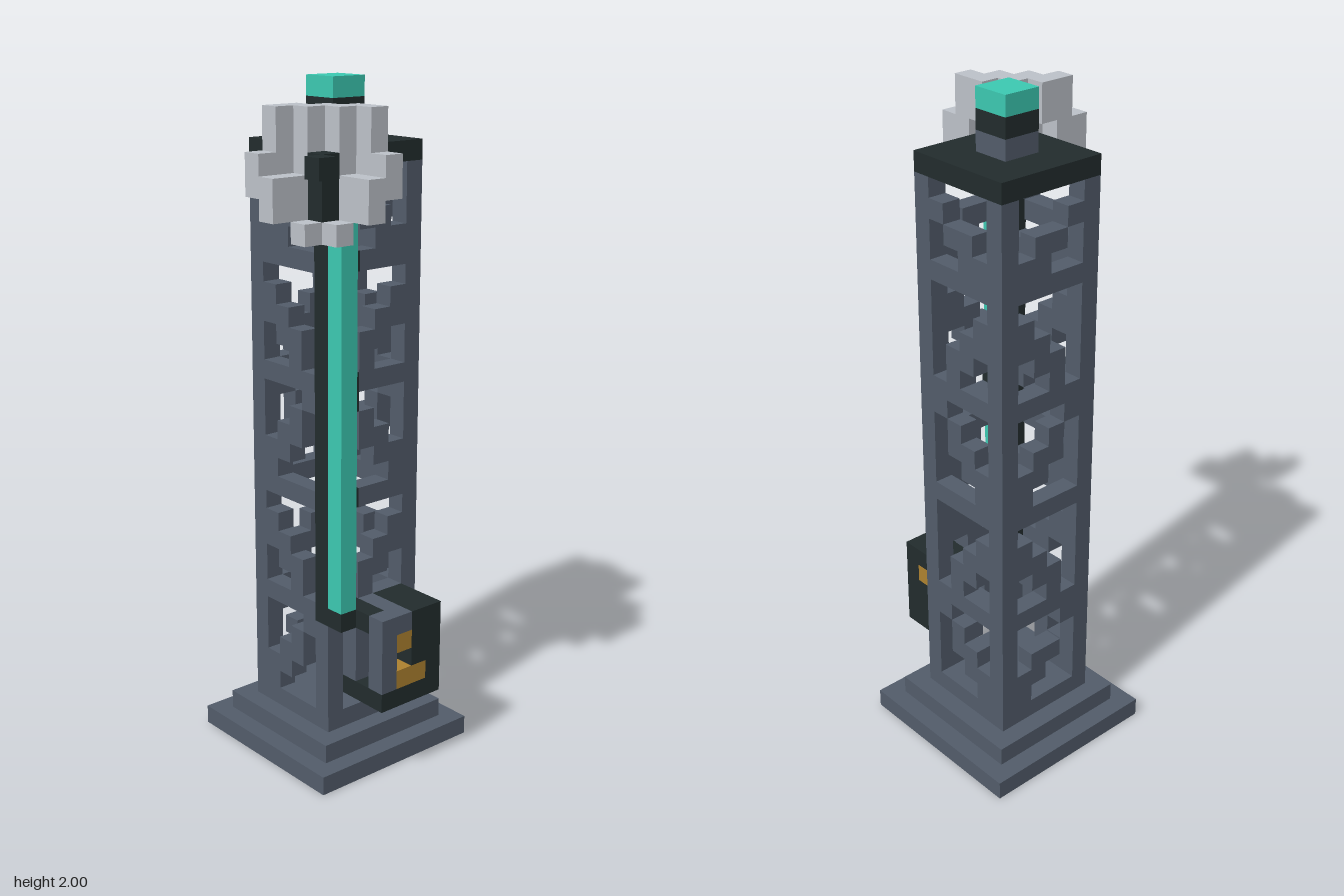
import * as THREE from 'three';
import { mergeGeometries } from 'three/addons/utils/BufferGeometryUtils.js';

const U = 2 / 35; // one block

const colours = { slate: 0x525c6a, charcoal: 0x222c2d, teal: 0x3cc8b1, paleGrey: 0xbcc1c8, amber: 0xad812f };

// Box given by its lowest block (i, y, k) and its size in blocks
function block([i, y, k, w = 1, h = 1, d = 1]) {
  return new THREE.BoxGeometry(w * U, h * U, d * U)
    .translate((i + w / 2 - 6) * U, (y + h / 2) * U, (k + d / 2 - 6) * U);
}

export function createModel() {
  const model = new THREE.Group();
  model.name = 'latticeTower';
  const mats = {};
  for (const [name, color] of Object.entries(colours)) {
    mats[name] = new THREE.MeshStandardMaterial({ color });
    mats[name].name = name;
  }
  const part = (name, mat, blocks) => {
    const mesh = new THREE.Mesh(mergeGeometries(blocks.map(block)), mats[mat]);
    mesh.name = name;
    model.add(mesh);
  };
  // Adds the same blocks mirrored across the diagonal x = z
  const both = (list) => list.flatMap(([i, y, k]) => (i === k ? [[i, y, k]] : [[i, y, k], [k, y, i]]));

  // Stepped base
  part('baseLower', 'slate', [[0, 0, 0, 10, 1, 10]]);
  part('baseUpper', 'slate', [[1, 1, 1, 8, 1, 8]]);
  part('towerFoot', 'slate', [[2, 2, 2, 6, 1, 6]]);

  // Corner legs; the front left one carries a dark rail
  part('legs', 'slate', [
    [2, 3, 2, 1, 28, 1], [7, 3, 2, 1, 28, 1], [2, 3, 7, 1, 28, 1],
    [7, 3, 7, 1, 5, 1], [7, 30, 7],
  ]);
  part('rail', 'charcoal', [[7, 8, 7, 1, 22, 1]]);
  part('lightStrip', 'teal', [[8, 9, 7, 1, 21, 1]]);

  // Horizontal beams and stepped braces: [row, first, count]
  const rows = [];
  for (const y of [8, 14, 20, 26]) rows.push([y, 3, 4]);
  for (const y of [3, 15]) rows.push([y, 3, 1], [y + 1, 3, 2], [y + 2, 4, 2], [y + 3, 5, 1], [y + 4, 6, 1]);
  for (const y of [9, 21]) rows.push([y, 5, 1], [y + 1, 4, 2], [y + 2, 3, 2], [y + 3, 3, 1]);
  rows.push([27, 3, 2], [28, 4, 2], [29, 6, 1]);
  const lattice = [], clamps = [];
  for (const [y, first, count] of rows) {
    for (let n = first; n < first + count; n++) {
      lattice.push([n, y, 2], [n, y, 7]);
      if (y === 6) continue; // open slot through the sides
      lattice.push([2, y, n]);
      (n === 6 ? clamps : lattice).push([7, y, n]);
    }
  }
  part('lattice', 'slate', lattice);
  part('railClamps', 'charcoal', clamps);

  // Top plate and beacon
  part('topPlate', 'charcoal', [[2, 31, 2, 6, 1, 6]]);
  part('beaconFoot', 'slate', [[4, 32, 4, 2, 1, 2]]);
  part('beaconCollar', 'charcoal', [[4, 33, 4, 2, 1, 2]]);
  part('beaconLamp', 'teal', [[4, 34, 4, 2, 1, 2]]);

  // Equipment cabinet on the left side
  part('cabinet', 'charcoal', [
    [8, 4, 3, 3, 1, 4],
    [8, 5, 3, 3, 2, 1], [8, 8, 3, 3, 1, 1], [8, 7, 3], [10, 7, 3],
    [8, 5, 4, 2, 1, 1], [8, 6, 4, 3, 3, 1],
  ]);
  part('cabinetFrame', 'slate', [
    [8, 8, 5, 3, 1, 1], [10, 5, 6, 1, 4, 1], [8, 5, 6, 1, 3, 1], [8, 5, 5], [8, 7, 5],
  ]);
  part('cabinetConduit', 'charcoal', [[8, 8, 6, 2, 1, 1], [8, 8, 7]]);
  part('cabinetLamps', 'amber', [[9, 7, 5, 2, 1, 1], [10, 5, 4, 1, 1, 2], [9, 7, 3]]);

  // Dish tilted upwards, facing the diagonal
  part('dish', 'paleGrey', both([
    [8, 33, 8], [9, 33, 7], [9, 33, 8], [10, 33, 7],
    [8, 32, 8], [9, 32, 7], [9, 32, 8], [10, 32, 7],
    [8, 31, 8], [9, 31, 8], [10, 31, 7], [11, 31, 7],
    [10, 30, 7], [10, 30, 8], [11, 30, 7], [11, 30, 8],
    [9, 29, 8], [10, 29, 8], [11, 29, 8],
    [9, 28, 9], [10, 28, 9],
  ]));
  part('dishMount', 'charcoal', both([[8, 29, 8], [8, 30, 8], [9, 30, 8]]));
  part('dishReceiver', 'charcoal', [[9, 29, 9, 1, 3, 1], [10, 31, 10]]);

  return model;
}
